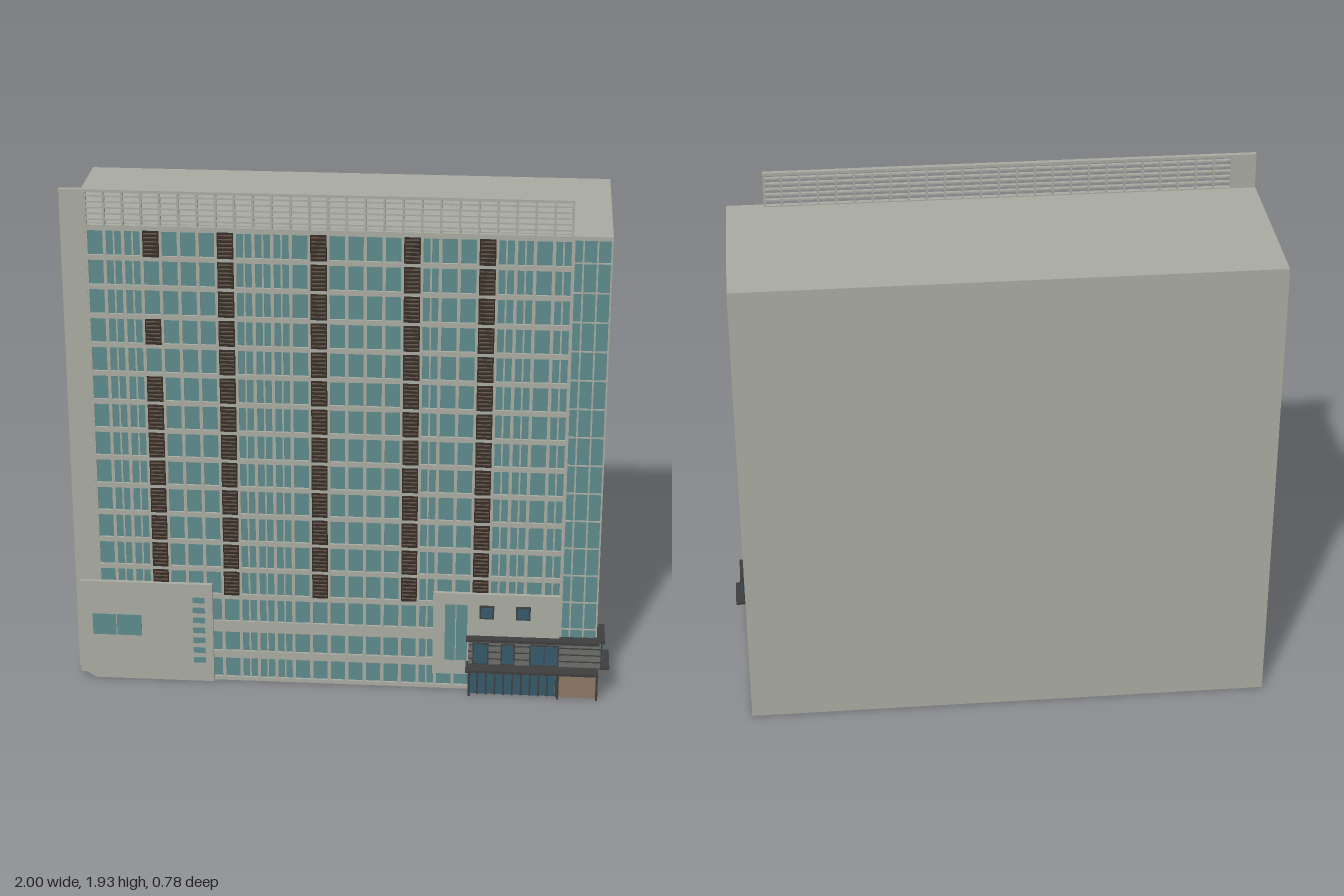
import * as THREE from 'three';
import { mergeGeometries } from 'three/addons/utils/BufferGeometryUtils.js';

const mat = (name, color) => {
  const m = new THREE.MeshStandardMaterial({ color });
  m.name = name;
  return m;
};

// Box given by its two extreme corners
const box = (x0, x1, y0, y1, z0, z1) =>
  new THREE.BoxGeometry(x1 - x0, y1 - y0, z1 - z0)
    .translate((x0 + x1) / 2, (y0 + y1) / 2, (z0 + z1) / 2);

// Extruded outline from z0 to z1
const plate = (points, z0, z1) => {
  const shape = new THREE.Shape(points.map(([x, y]) => new THREE.Vector2(x, y)));
  return new THREE.ExtrudeGeometry(shape, { depth: z1 - z0, bevelEnabled: false }).translate(0, 0, z0);
};

export function createModel() {
  const group = new THREE.Group();
  const wall = mat('wall grey', 0xa8aaa0);
  const glass = mat('teal glass', 0x5c898b);
  const darkGlass = mat('dark blue glass', 0x35586a);
  const louver = mat('louver dark brown', 0x352d26);
  const slat = mat('slat brown', 0x65564a);
  const siding = mat('siding grey', 0x6c6c67);
  const canopy = mat('canopy charcoal', 0x3e3e3e);
  const brown = mat('entrance brown', 0x8c7665);

  const add = (name, material, geometries) => {
    const mesh = new THREE.Mesh(mergeGeometries(geometries), material);
    mesh.name = name;
    group.add(mesh);
  };

  // Main block
  add('mainBlock', wall, [box(-1, 0.95, 0, 1.8, -0.39, 0.273)]);

  // Solid strip at the left end of the facade, clipped at the foot
  add('facadeEndStrip', wall, [
    plate([[-1, 0.04], [-0.935, 0], [-0.91, 0], [-0.91, 1.93], [-1, 1.93]], 0.282, 0.3),
  ]);

  // Facade grid: window rows and columns
  const X0 = -0.91, X1 = 0.812, COLS = 26, pitch = (X1 - X0) / COLS;
  const rows = [];
  for (let i = 0; i < 13; i++) rows.push([1.688 - 0.1105 * i, 1.78 - 0.1105 * i]);
  rows.push([0.25, 0.342], [0.125, 0.205], [0.015, 0.095]);

  add('facadeGlass', glass, [box(X0, X1, 0, 1.79, 0.284, 0.29)]);

  const bands = [], piers = [], panes = [];
  let upper = 1.8;
  for (const [y0, y1] of rows) {
    bands.push(box(X0, X1, y1, upper, 0.282, 0.3));
    upper = y0;
  }
  bands.push(box(X0, X1, 0, upper, 0.282, 0.3));
  for (let c = 0; c <= COLS; c++) {
    const x = X0 + c * pitch;
    piers.push(box(x - 0.006, x + 0.006, 0, 1.8, 0.283, 0.299));
  }
  for (const c of [1, 2, 8, 9, 10, 18, 22, 23, 25]) {
    const x = X0 + (c + 0.5) * pitch;
    panes.push(box(x - 0.003, x + 0.003, 0, 1.79, 0.285, 0.295));
  }
  add('floorBands', wall, bands);
  add('windowPiers', wall, piers);
  add('windowMullions', wall, panes);

  // Louvred bays
  const louvers = [], slats = [];
  for (const c of [3, 7, 12, 17, 21]) {
    for (let r = 0; r < 13; r++) {
      if (c === 3 && [1, 2, 4].includes(r)) continue;
      const [y0, y1] = rows[r];
      const x0 = X0 + c * pitch + 0.004, x1 = x0 + pitch - 0.008;
      louvers.push(box(x0, x1, y0 - 0.003, y1 + 0.003, 0.288, 0.301));
      for (let s = 0; s < 6; s++) {
        const y = y0 + 0.008 + s * 0.015;
        slats.push(box(x0 + 0.004, x1 - 0.004, y, y + 0.004, 0.298, 0.304));
      }
    }
  }
  add('louverPanels', louver, louvers);
  add('louverSlats', slat, slats);

  // Open lattice above the roof
  const lattice = [box(X0, X1, 1.92, 1.93, 0.282, 0.3)];
  for (let c = 0; c <= COLS; c++) {
    const x = Math.min(X0 + c * pitch, X1 - 0.004);
    lattice.push(box(x - 0.004, x + 0.004, 1.8, 1.925, 0.283, 0.299));
  }
  for (let i = 0; i < 5; i++) {
    const y = 1.82 + i * 0.0215;
    lattice.push(box(X0, X1, y - 0.003, y + 0.003, 0.284, 0.298));
  }
  add('roofLattice', wall, lattice);

  // Curtain wall at the right end
  add('curtainGlass', glass, [box(X1, 0.948, 0, 1.785, 0.28, 0.29)]);
  const frame = [box(X1, 0.95, 1.785, 1.8, 0.273, 0.298)];
  for (const x of [0.848, 0.898, 0.947])
    frame.push(box(x - 0.003, x + 0.003, 0, 1.79, 0.28, 0.295));
  for (let i = 0; i < 15; i++) {
    const y = 1.7 - i * 0.1105;
    frame.push(box(X1, 0.95, y - 0.0025, y + 0.0025, 0.282, 0.294));
  }
  add('curtainFrame', wall, frame);

  // Lower left panel with a wide window and a column of slots
  add('leftPanel', wall, [
    plate([[-0.985, 0.03], [-0.935, 0], [-0.485, 0], [-0.485, 0.405], [-0.985, 0.405]], 0.298, 0.315),
  ]);
  const leftWindows = [box(-0.94, -0.852, 0.185, 0.27, 0.312, 0.318), box(-0.848, -0.755, 0.185, 0.27, 0.312, 0.318)];
  for (let i = 0; i < 7; i++) {
    const y = 0.34 - i * 0.0417;
    leftWindows.push(box(-0.56, -0.515, y - 0.011, y + 0.011, 0.312, 0.318));
  }
  add('leftPanelWindows', glass, leftWindows);

  // Panel above the entrance
  add('entrancePanel', wall, [box(0.34, X1, 0.07, 0.405, 0.298, 0.315)]);
  add('entrancePanelGlass', glass, [box(0.385, 0.423, 0.13, 0.36, 0.312, 0.318), box(0.427, 0.468, 0.13, 0.36, 0.312, 0.318)]);
  const squares = [], surrounds = [];
  for (const x of [0.54, 0.675]) {
    surrounds.push(box(x - 0.027, x + 0.027, 0.307, 0.36, 0.312, 0.322));
    squares.push(box(x - 0.021, x + 0.021, 0.313, 0.354, 0.316, 0.325));
  }
  add('squareWindowFrames', canopy, surrounds);
  add('squareWindows', darkGlass, squares);

  // Entrance: ground floor
  add('entranceBase', brown, [box(0.8, 0.962, 0, 0.117, 0.187, 0.338)]);
  add('entranceDoors', darkGlass, [box(0.475, 0.8, 0, 0.117, 0.27, 0.332)]);
  const doorFrames = [box(0.475, 0.81, 0.095, 0.102, 0.325, 0.338)];
  for (let i = 0; i <= 10; i++) {
    const x = 0.477 + i * 0.0327;
    doorFrames.push(box(x - 0.003, x + 0.003, 0, 0.117, 0.325, 0.338));
  }
  for (const x of [0.48, 0.81, 0.955]) doorFrames.push(box(x - 0.004, x + 0.004, 0, 0.117, 0.348, 0.356));
  add('doorFramesAndPosts', canopy, doorFrames);

  // Entrance: upper storey with siding joints
  add('upperStorey', siding, [box(0.475, 0.965, 0.125, 0.225, 0.187, 0.335)]);
  const joints = [];
  for (const y of [0.15, 0.178, 0.205]) joints.push(box(0.474, 0.967, y - 0.002, y + 0.002, 0.186, 0.338));
  const upperWindows = [], upperFrames = [];
  for (const [x0, x1] of [[0.495, 0.545], [0.6, 0.643], [0.706, 0.755], [0.758, 0.806]]) {
    upperFrames.push(box(x0 - 0.005, x1 + 0.005, 0.128, 0.215, 0.332, 0.34));
    upperWindows.push(box(x0, x1, 0.133, 0.21, 0.334, 0.343));
  }
  upperFrames.push(box(0.962, 0.97, 0.127, 0.217, 0.198, 0.322));
  for (let i = 0; i < 3; i++) {
    const z = 0.203 + i * 0.039;
    upperWindows.push(box(0.964, 0.973, 0.132, 0.212, z, z + 0.035));
  }
  add('sidingJoints', canopy, joints);
  add('upperWindowFrames', canopy, upperFrames);
  add('upperWindows', darkGlass, upperWindows);

  // Canopy and roof, both wrapping the corner
  add('canopy', canopy, [
    box(0.465, 0.96, 0.116, 0.126, 0.3, 0.39),
    box(0.94, 1, 0.116, 0.126, 0.183, 0.327),
  ]);
  add('entranceRoof', canopy, [
    box(0.465, 0.96, 0.223, 0.234, 0.3, 0.347),
    box(0.94, 0.98, 0.223, 0.234, 0.185, 0.327),
  ]);

  return group;
}
